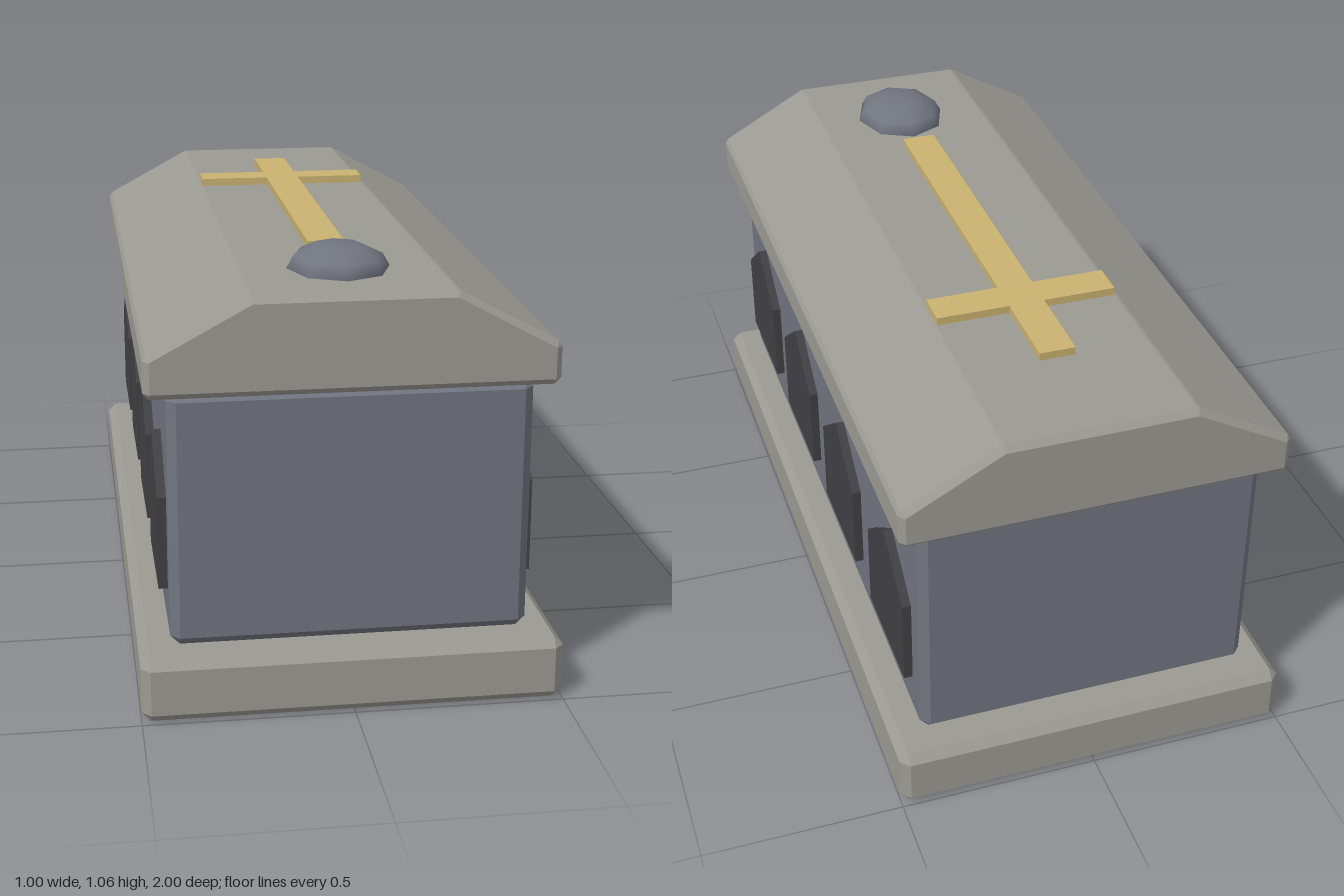
import * as THREE from 'three';
import { ConvexGeometry } from 'three/addons/geometries/ConvexGeometry.js';

const material = (name, color) => {
  const m = new THREE.MeshStandardMaterial({ color });
  m.name = name;
  return m;
};

// Convex prism along z with every edge chamfered; profile is counter-clockwise.
function beveledPrism(profile, halfLength, bevel) {
  const points = [];
  const n = profile.length;
  const pts = profile.map(([x, y]) => new THREE.Vector2(x, y));
  const normal = (a, b) => new THREE.Vector2(b.y - a.y, a.x - b.x).normalize();
  const normals = pts.map((p, i) => normal(p, pts[(i + 1) % n]));
  // Corner of the profile after moving both adjoining edges inwards
  const inset = pts.map((p, i) => {
    const a = normals[(i + n - 1) % n], b = normals[i];
    const k = -bevel / (1 + a.dot(b));
    return p.clone().addScaledVector(a, k).addScaledVector(b, k);
  });
  inset.forEach((p, i) => {
    for (const s of [-1, 1]) {
      points.push(new THREE.Vector3(p.x, p.y, s * halfLength));
      for (const d of [normals[(i + n - 1) % n], normals[i]]) {
        points.push(new THREE.Vector3(p.x + d.x * bevel, p.y + d.y * bevel, s * (halfLength - bevel)));
      }
    }
  });
  return new ConvexGeometry(points);
}

const rect = (w, y0, y1) => [[-w, y0], [w, y0], [w, y1], [-w, y1]];
const shapeOf = (points) => new THREE.Shape(points.map(([x, y]) => new THREE.Vector2(x, y)));

export function createModel() {
  const group = new THREE.Group();
  group.name = 'sarcophagus';

  const stone = material('pale stone', 0x9b9a92);
  const slate = material('blue grey slate', 0x717580);
  const dark = material('dark recess', 0x414044);
  const gold = material('gold', 0xc9b270);

  const add = (name, geometry, mat) => {
    const mesh = new THREE.Mesh(geometry, mat);
    mesh.name = name;
    group.add(mesh);
    return mesh;
  };

  // Plinth, chest and hipped lid
  add('plinth', beveledPrism(rect(0.5, 0, 0.155), 1, 0.022), stone);
  add('chest', beveledPrism(rect(0.425, 0.155, 0.775), 0.922, 0.022), slate);
  const lidProfile = [
    [-0.478, 0.77], [0.478, 0.77], [0.478, 0.868],
    [0.235, 1.0], [-0.235, 1.0], [-0.478, 0.868],
  ];
  add('lid', beveledPrism(lidProfile, 0.958, 0.015), stone);

  // Pointed niche panels along both long sides
  const nicheShape = shapeOf([[-0.155, 0.273], [0.155, 0.273], [0.155, 0.5], [0, 0.617], [-0.155, 0.5]]);
  const nicheGeometry = new THREE.ExtrudeGeometry(nicheShape, { depth: 0.04, bevelEnabled: false });
  for (const side of [-1, 1]) {
    for (let i = 0; i < 4; i++) {
      const niche = add(side > 0 ? 'leftNiche' : 'rightNiche', nicheGeometry, dark);
      niche.rotation.y = side * Math.PI / 2;
      niche.position.set(side * 0.407, 0, 0.69 - i * 0.46);
    }
  }

  // Cross lying on the lid, its head towards the back
  const crossShape = shapeOf([
    [-0.045, -0.5], [0.045, -0.5], [0.045, 0.345], [0.23, 0.345], [0.23, 0.435], [0.045, 0.435],
    [0.045, 0.655], [-0.045, 0.655], [-0.045, 0.435], [-0.23, 0.435], [-0.23, 0.345], [-0.045, 0.345],
  ]);
  const cross = add('cross', new THREE.ExtrudeGeometry(crossShape, { depth: 0.022, bevelEnabled: false }), gold);
  cross.rotation.x = -Math.PI / 2;
  cross.position.y = 0.998;

  // Low rounded boss at the foot of the cross
  const boss = add('boss', new THREE.SphereGeometry(1, 8, 6), slate);
  boss.scale.set(0.123, 0.06, 0.147);
  boss.position.set(0, 1.0, 0.69);

  return group;
}
